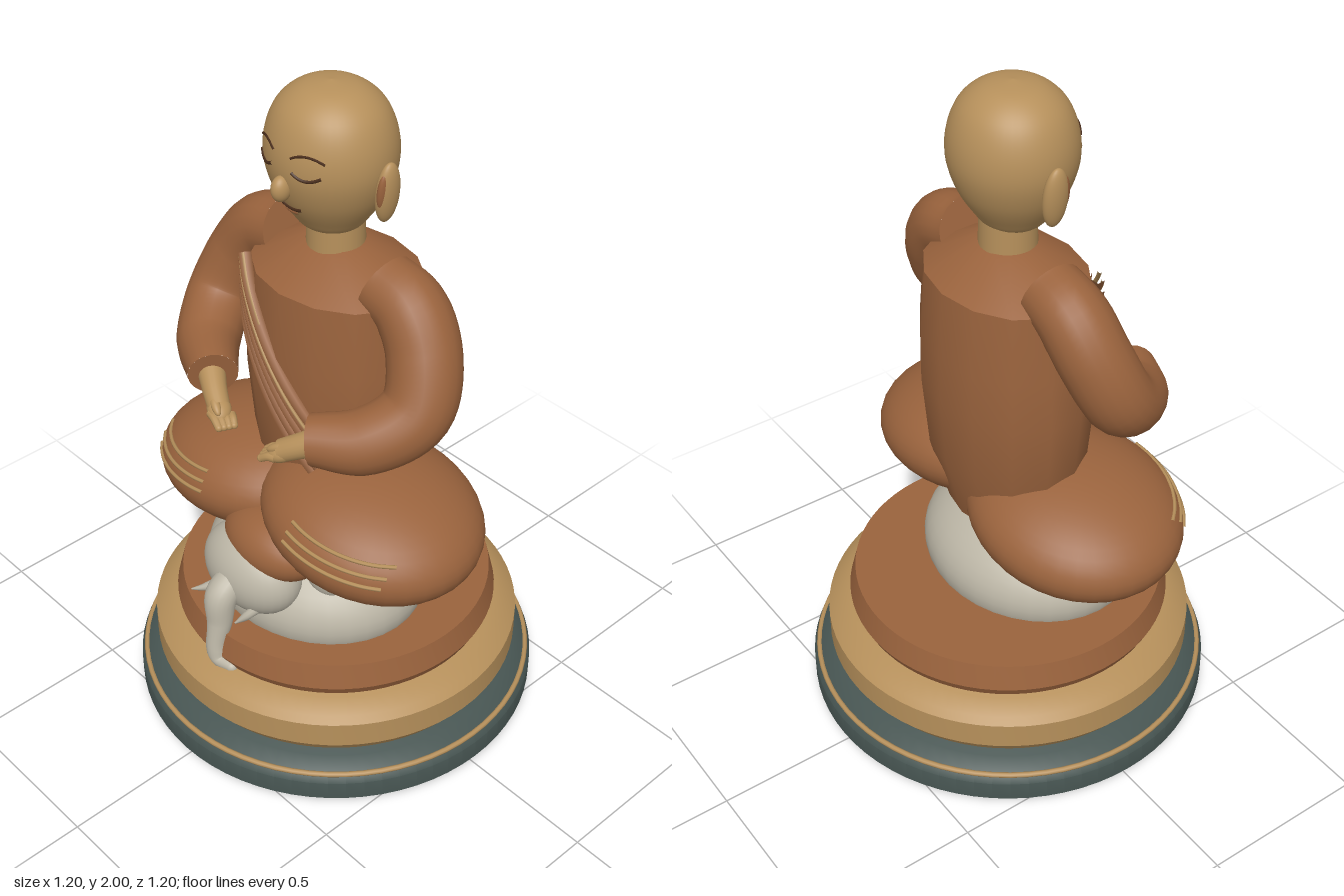
import * as THREE from 'three';
import { toCreasedNormals } from 'three/addons/utils/BufferGeometryUtils.js';

const mat = (name, color) => {
  const m = new THREE.MeshStandardMaterial({ color });
  m.name = name;
  return m;
};
const V = (x, y, z) => new THREE.Vector3(x, y, z);

export function createModel() {
  const robe = mat('robe brown', 0x9a633d);
  const gold = mat('skin gold', 0xb6905b);
  const slate = mat('base slate', 0x475552);
  const stone = mat('stone grey', 0xbcb6a6);
  const line = mat('line brown', 0x4a2e1c);
  const root = new THREE.Group();
  root.name = 'seatedFigure';

  const add = (name, geo, material, parent = root) => {
    const m = new THREE.Mesh(geo, material);
    m.name = name;
    parent.add(m);
    return m;
  };
  const ball = (name, material, pos, radii, rot = [0, 0, 0], parent = root) => {
    const m = add(name, new THREE.SphereGeometry(1, 36, 24), material, parent);
    m.position.set(...pos);
    m.scale.set(...radii);
    m.rotation.set(...rot);
    return m;
  };
  const lathe = (name, pts, material, segs = 72) => add(name, toCreasedNormals(
    new THREE.LatheGeometry(pts.map(p => new THREE.Vector2(...p)), segs), 0.6), material);
  // Tube along points whose thickness follows a list of radii
  const sweep = (name, pts, radii, material, parent = root, sides = 20) => {
    const curve = new THREE.CatmullRomCurve3(pts);
    const n = Math.max(12, pts.length * 6);
    const geo = new THREE.TubeGeometry(curve, n, 1, sides, false);
    const p = geo.attributes.position, v = V(0, 0, 0);
    for (let i = 0; i <= n; i++) {
      const f = (i / n) * (radii.length - 1), k = Math.min(Math.floor(f), radii.length - 2);
      const r = radii.length > 1 ? THREE.MathUtils.lerp(radii[k], radii[k + 1], f - k) : radii[0];
      const c = curve.getPointAt(i / n);
      for (let j = 0; j <= sides; j++) {
        const q = i * (sides + 1) + j;
        v.fromBufferAttribute(p, q).sub(c).multiplyScalar(r).add(c);
        p.setXYZ(q, v.x, v.y, v.z);
      }
    }
    add(name, geo, material, parent);
    return curve;
  };
  const cap = (name, pos, dir, r, material, parent) => {
    const m = add(name, new THREE.CircleGeometry(r, 20), material, parent);
    m.position.copy(pos);
    m.quaternion.setFromUnitVectors(V(0, 0, 1), dir);
  };
  const thin = (name, pts, r, material, parent = root) => sweep(name, pts, [r, r], material, parent, 6);

  // Stepped round base
  lathe('baseFoot', [[0, 0], [0.57, 0], [0.6, 0.03], [0.6, 0.09], [0.585, 0.112], [0.54, 0.14], [0, 0.14]], slate);
  const trim = add('baseTrim', new THREE.TorusGeometry(0.584, 0.008, 8, 72), gold);
  trim.rotation.x = Math.PI / 2;
  trim.position.y = 0.112;
  lathe('basePlinth', [[0, 0.135], [0.505, 0.135], [0.545, 0.19], [0.545, 0.27], [0.525, 0.288],
    [0.48, 0.315], [0, 0.315]], gold);
  lathe('baseCushion', [[0, 0.31], [0.46, 0.31], [0.477, 0.345], [0.458, 0.42], [0, 0.42]], robe);

  // Elephant mount
  const mount = new THREE.Group();
  mount.name = 'elephant';
  root.add(mount);
  ball('elephantBody', stone, [0, 0.46, 0.08], [0.35, 0.2, 0.3], undefined, mount);
  ball('elephantHead', stone, [0, 0.58, 0.32], [0.17, 0.13, 0.115], undefined, mount);
  sweep('elephantTrunk', [V(0, 0.58, 0.39), V(0, 0.54, 0.44), V(0, 0.45, 0.452), V(0, 0.36, 0.468),
    V(0.012, 0.322, 0.468), V(0.055, 0.315, 0.462)], [0.05, 0.048, 0.04, 0.032, 0.03, 0.018], stone, mount);
  ball('trunkBrow', stone, [0, 0.572, 0.405], [0.05, 0.035, 0.045], undefined, mount);
  ball('trunkTip', stone, [0.056, 0.315, 0.462], [0.02, 0.018, 0.018], undefined, mount);
  for (const s of [1, -1]) {
    ball('elephantEar', stone, [s * 0.205, 0.625, 0.235], [0.055, 0.07, 0.025], [0, s * 0.4, s * 0.3], mount);
    sweep('elephantTusk', [V(s * 0.08, 0.505, 0.38), V(s * 0.086, 0.508, 0.43), V(s * 0.096, 0.52, 0.475)],
      [0.016, 0.012, 0.002], stone, mount, 10);
  }

  // Crossed legs with embroidered stripes lying on the surface
  const R = [0.335, 0.165, 0.295];
  for (const s of [1, -1]) {
    const leg = new THREE.Group();
    leg.name = s > 0 ? 'leftLeg' : 'rightLeg';
    leg.position.set(s * 0.225, s > 0 ? 0.775 : 0.735, 0.07);
    leg.rotation.z = -s * 0.12;
    root.add(leg);
    ball('foldedLeg', robe, [0, 0, 0], R, undefined, leg);
    for (const y of [0.078, 0.052, 0.024]) {
      const pts = [];
      for (let i = 0; i <= 8; i++) {
        const x = -0.055 + i * 0.037;
        pts.push(V(s * x, y, R[2] * Math.sqrt(1 - (x / R[0]) ** 2 - (y / R[1]) ** 2)));
      }
      thin('legStripe', pts, 0.006, gold, leg);
    }
  }
  ball('lapFold', robe, [0.04, 0.68, 0.27], [0.17, 0.1, 0.12]);

  // Torso, oval and softly faceted
  const torso = lathe('torso', [[0, 0.68], [0.2, 0.68], [0.262, 0.88], [0.283, 1.1], [0.28, 1.25],
    [0.262, 1.45], [0.09, 1.54], [0, 1.54]], robe, 14);
  torso.scale.z = 0.79;
  torso.position.z = -0.005;

  // Diagonal sash made of parallel folds
  const sashPath = (d, lift) => {
    const pts = [];
    for (let i = 0; i <= 10; i++) {
      const t = i / 10;
      const x = -0.228 + 0.375 * t + d * 0.55;
      const y = 1.425 - 0.5 * t + 0.04 * t * t + d * 0.65;
      pts.push(V(x, y, 0.212 * Math.sqrt(Math.max(0.12, 1 - (x / 0.278) ** 2)) + lift));
    }
    return pts;
  };
  for (let i = 0; i < 5; i++) thin('sashFold', sashPath(-0.055 + i * 0.03, 0), 0.02, robe);
  thin('sashTrim', sashPath(0.078, 0.006), 0.006, gold);
  thin('sashTrim', sashPath(0.05, 0.016), 0.005, gold);

  // Sleeved arms and resting hands
  for (const s of [1, -1]) {
    const arm = new THREE.Group();
    arm.name = s > 0 ? 'leftArm' : 'rightArm';
    root.add(arm);
    const P = (x, y, z) => V(s * x, y, z);
    const c = sweep('sleeve', [P(0.185, 1.48, 0), P(0.28, 1.45, 0), P(0.355, 1.35, 0.02), P(0.388, 1.22, 0.08),
      P(0.32, 1.145, 0.19), P(0.2, 1.125, 0.275)], [0.092, 0.1, 0.1, 0.098, 0.09, 0.07], robe, arm);
    cap('shoulderEnd', c.getPointAt(0), c.getTangentAt(0).negate(), 0.092, robe, arm);
    cap('cuffEnd', c.getPointAt(1), c.getTangentAt(1), 0.07, robe, arm);
    sweep('wrist', [P(0.22, 1.125, 0.265), P(0.17, 1.095, 0.295), P(0.13, 1.07, 0.315)],
      [0.04, 0.035, 0.032], gold, arm);
    ball('palm', gold, [s * 0.13, 1.065, 0.315], [0.045, 0.027, 0.034], [0, s * 0.5, s * 0.4], arm);
    for (let i = 0; i < 4; i++) {
      const a = P(0.135 - i * 0.012, 1.06 - i * 0.003, 0.34 - i * 0.014);
      const b = P(0.088 - i * 0.006, 1.04, 0.352 - i * 0.013);
      sweep('finger', [a, a.clone().lerp(b, 0.5).add(V(0, 0.005, 0)), b], [0.014, 0.011], gold, arm, 10);
      ball('fingertip', gold, b.toArray(), [0.011, 0.011, 0.011], undefined, arm);
    }
    ball('thumb', gold, [s * 0.125, 1.085, 0.33], [0.032, 0.012, 0.013], [0, s * 0.4, s * 0.5], arm);
  }

  // Neck and egg-shaped head
  add('neck', new THREE.CylinderGeometry(0.078, 0.08, 0.12, 32), gold).position.y = 1.57;
  const profile = new THREE.SplineCurve([[0, 1.59], [0.075, 1.6], [0.113, 1.64], [0.155, 1.71], [0.178, 1.79],
    [0.172, 1.87], [0.14, 1.94], [0.08, 1.985], [0, 2]].map(p => new THREE.Vector2(...p))).getPoints(48);
  profile.forEach(p => { p.x = Math.max(0, p.x); });
  const HZ = 0.96, HO = 0.015;
  const head = add('head', new THREE.LatheGeometry(profile, 48), gold);
  head.scale.z = HZ;
  head.position.z = HO;
  // Point on the face at a given x and y
  const face = (x, y) => {
    const i = Math.max(1, profile.findIndex(p => p.y >= y));
    const a = profile[i - 1], b = profile[i];
    const r = THREE.MathUtils.lerp(a.x, b.x, (y - a.y) / (b.y - a.y));
    return V(x, y, HO + HZ * Math.sqrt(Math.max(0, r * r - x * x)));
  };
  const faceArc = (name, x, y, w, bend, r, material) => {
    const pts = [];
    for (let i = -4; i <= 4; i++) pts.push(face(x + (w * i) / 4, y + bend * (1 - (i / 4) ** 2)));
    thin(name, pts, r, material);
  };
  ball('nose', gold, [0, 1.757, 0.186], [0.024, 0.036, 0.03]);
  faceArc('mouthLine', 0, 1.697, 0.04, -0.008, 0.005, line);
  faceArc('lowerLip', 0, 1.683, 0.024, -0.005, 0.006, robe);

  // Closed eyes, brows and long ears
  for (const s of [1, -1]) {
    faceArc('eyelid', s * 0.073, 1.815, 0.037, -0.014, 0.0045, line);
    faceArc('brow', s * 0.073, 1.852, 0.042, 0.014, 0.0035, line);
    ball('ear', gold, [s * 0.194, 1.757, 0.005], [0.024, 0.087, 0.037], [0, 0, -s * 0.1]);
    ball('earHollow', robe, [s * 0.199, 1.765, 0.024], [0.013, 0.055, 0.02], [0, 0, -s * 0.1]);
  }
  return root;
}
